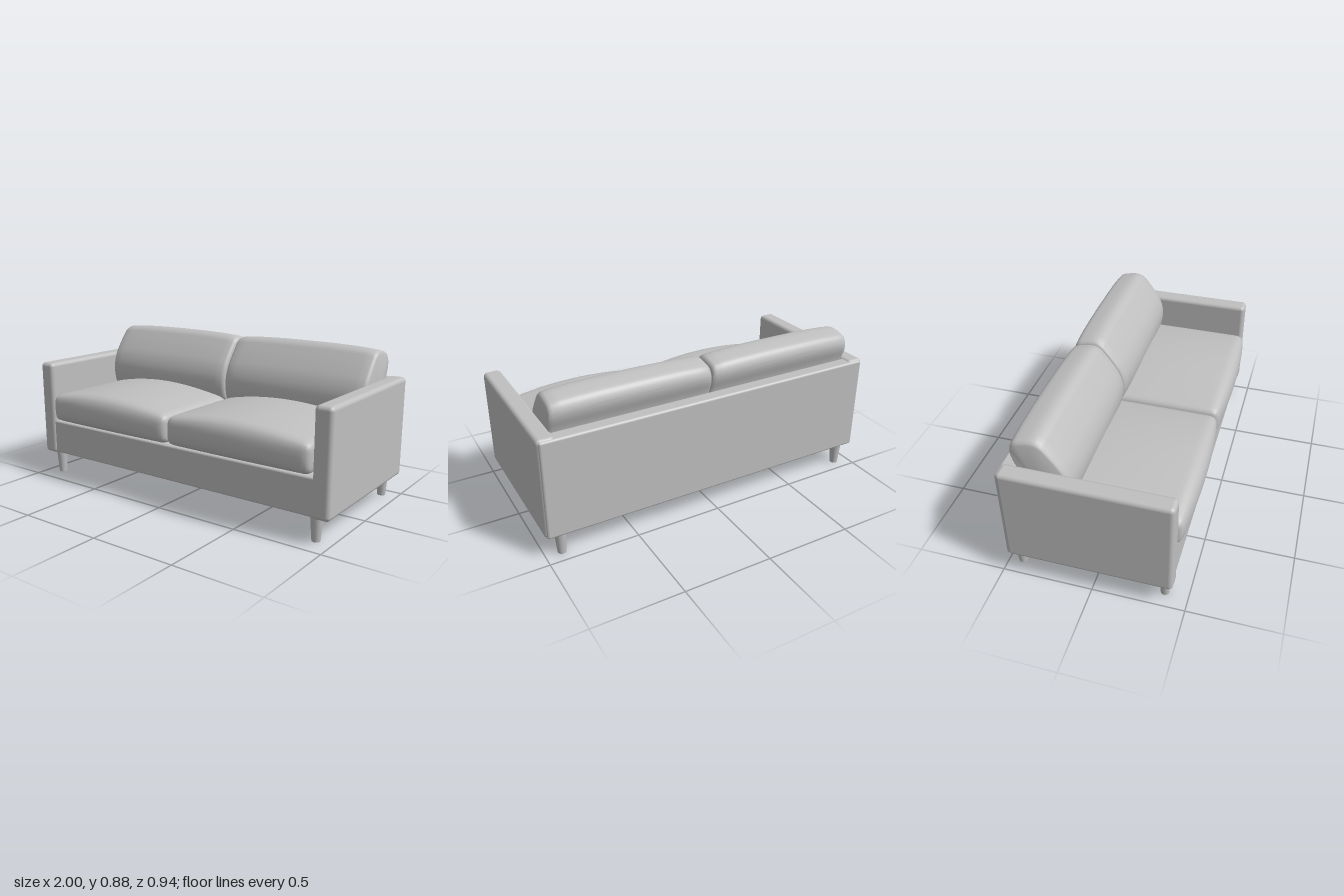
import * as THREE from 'three';
import { mergeVertices, toCreasedNormals } from 'three/addons/utils/BufferGeometryUtils.js';
import { RoundedBoxGeometry } from 'three/addons/geometries/RoundedBoxGeometry.js';

const { clamp } = THREE.MathUtils;

// Rounded box with crowned top and bowed front
function seatCushionGeometry(w, h, d, r, crown, bow) {
  const geo = new THREE.BoxGeometry(w, h, d, 40, 10, 36);
  const pos = geo.attributes.position;
  const half = new THREE.Vector3(w / 2, h / 2, d / 2);
  const inner = half.clone().subScalar(r);
  const p = new THREE.Vector3(), q = new THREE.Vector3();
  for (let i = 0; i < pos.count; i++) {
    p.fromBufferAttribute(pos, i);
    q.copy(p).clamp(inner.clone().negate(), inner);
    p.sub(q).setLength(r).add(q);
    const u = p.x / half.x, v = p.y / half.y, t = p.z / half.z;
    const across = 1 - u * u;
    const up = clamp((v + 1) / 2, 0, 1);
    p.y += crown * across * up * (1 - 0.3 * t * t);
    if (t > 0) p.z += bow * t * t * (0.35 + 0.65 * across) * (1 - 0.7 * v * v);
    pos.setXYZ(i, p.x, p.y, p.z);
  }
  geo.deleteAttribute('normal');
  geo.deleteAttribute('uv');
  const merged = mergeVertices(geo, 1e-5);
  merged.computeVertexNormals();
  return merged;
}

// Leaning cushion: side profile (z, y) lofted across x, shrinking towards the ends
function backCushionGeometry(width) {
  const profile = [
    [-0.14, 0.47], [-0.11, 0.53], [-0.105, 0.62], [-0.13, 0.7], [-0.175, 0.77], [-0.222, 0.83],
    [-0.25, 0.86], [-0.29, 0.875], [-0.36, 0.866], [-0.405, 0.85], [-0.425, 0.81],
    [-0.423, 0.77], [-0.4, 0.7], [-0.385, 0.6], [-0.375, 0.47],
  ].map(([z, y]) => new THREE.Vector3(0, y, z));
  const ring = new THREE.CatmullRomCurve3(profile, true).getPoints(60).slice(0, 60);
  const n = ring.length;
  const ends = [[1, 0.001], [1, 0.86], [0.985, 0.91], [0.955, 0.94], [0.85, 0.962], [0.65, 0.983], [0.35, 0.997]];
  const stations = [
    ...ends.map(([u, s]) => [-u, s]), [0, 1], ...ends.map(([u, s]) => [u, s]).reverse(),
  ];
  const verts = [], index = [];
  stations.forEach(([u, s], i) => {
    for (const p of ring) {
      verts.push(u * width / 2, 0.62 + (p.y - 0.62) * s, -0.29 + (p.z + 0.29) * s);
    }
    if (i === 0) return;
    for (let j = 0; j < n; j++) {
      const k = (j + 1) % n, a = (i - 1) * n, b = i * n;
      index.push(a + j, b + j, b + k, a + j, b + k, a + k);
    }
  });
  const geo = new THREE.BufferGeometry();
  geo.setAttribute('position', new THREE.Float32BufferAttribute(verts, 3));
  geo.setIndex(index);
  return toCreasedNormals(geo, 0.7);
}

export function createModel() {
  const sofa = new THREE.Group();
  sofa.name = 'sofa';
  const fabric = new THREE.MeshStandardMaterial({ color: 0xbfbfbf });
  fabric.name = 'grey';

  const add = (name, geo, x, y, z) => {
    const mesh = new THREE.Mesh(geo, fabric);
    mesh.name = name;
    mesh.position.set(x, y, z);
    sofa.add(mesh);
    return mesh;
  };
  // Box given by its limits, with rounded edges
  const block = (name, x0, x1, y0, y1, z0, z1, r) => add(
    name, new RoundedBoxGeometry(x1 - x0, y1 - y0, z1 - z0, 4, r),
    (x0 + x1) / 2, (y0 + y1) / 2, (z0 + z1) / 2,
  );

  // Frame
  block('seatBase', -0.92, 0.92, 0.135, 0.34, -0.42, 0.42, 0.012);
  block('backPanel', -0.99, 0.99, 0.13, 0.692, -0.472, -0.39, 0.014);

  const seatGeo = seatCushionGeometry(0.885, 0.16, 0.8, 0.035, 0.06, 0.042);
  const backGeo = backCushionGeometry(0.905);
  const legGeo = new THREE.CylinderGeometry(0.034, 0.023, 0.14, 20);

  for (const side of [1, -1]) {
    const label = side > 0 ? 'left' : 'right';
    block(`${label}Arm`, side > 0 ? 0.9 : -1, side > 0 ? 1 : -0.9, 0.13, 0.7, -0.466, 0.43, 0.024);
    add(`${label}SeatCushion`, seatGeo, side * 0.448, 0.425, 0.03);
    add(`${label}BackCushion`, backGeo, side * 0.457, 0, 0);
    add(`${label}FrontLeg`, legGeo, side * 0.908, 0.07, 0.373);
    add(`${label}BackLeg`, legGeo, side * 0.908, 0.07, -0.425);
  }
  return sofa;
}
